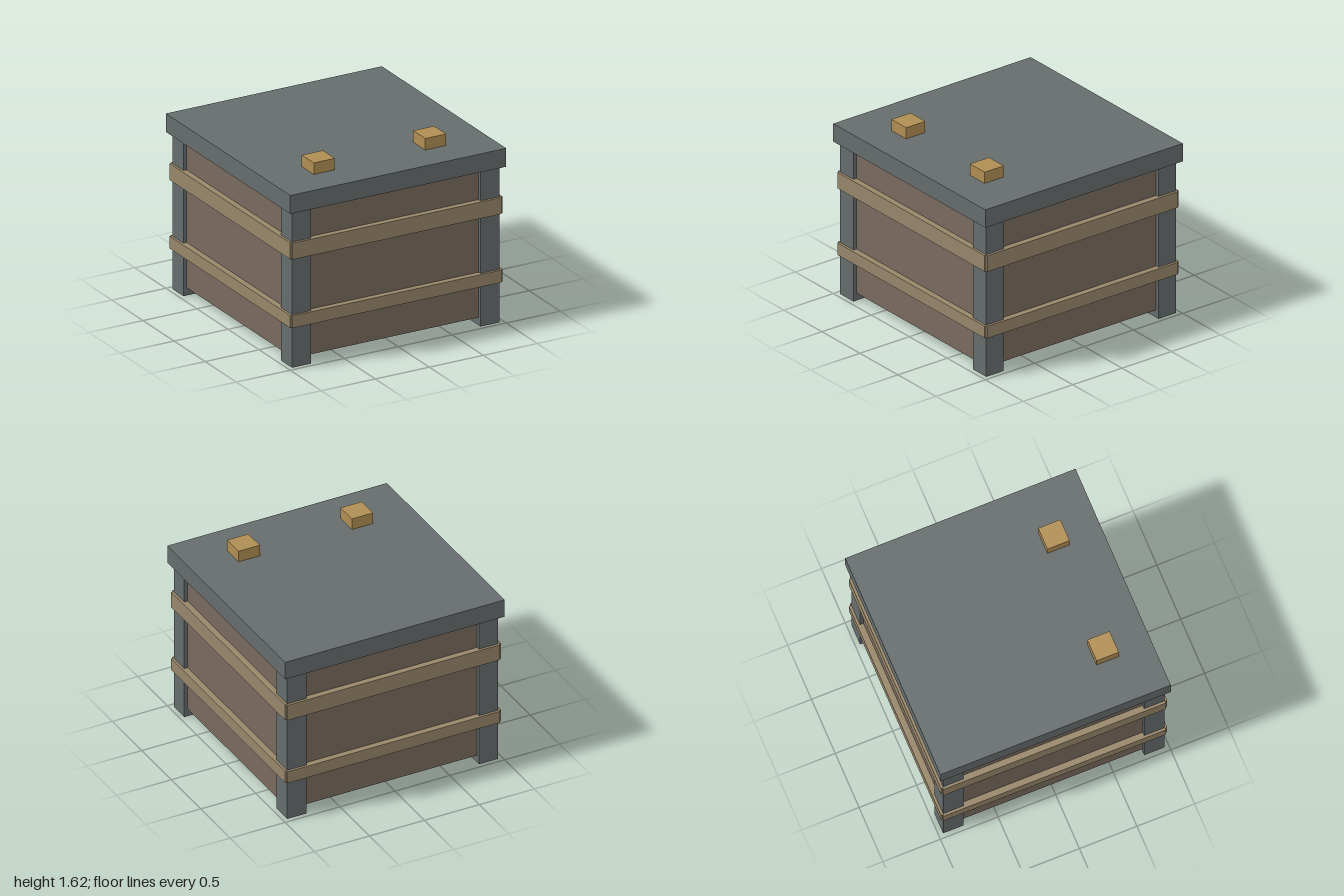
import * as THREE from 'three';

const mat = (name, color) => {
  const m = new THREE.MeshStandardMaterial({ color });
  m.name = name;
  return m;
};

export function createModel() {
  const slate = mat('slate grey', 0x666d6d);
  const brown = mat('panel brown', 0x796b5f);
  const tan = mat('slat tan', 0x97876a);
  const ochre = mat('block ochre', 0xb08e53);

  const model = new THREE.Group();
  model.name = 'crate';

  // Box given by its lower and upper corners
  const box = (name, material, [x0, y0, z0], [x1, y1, z1]) => {
    const mesh = new THREE.Mesh(new THREE.BoxGeometry(x1 - x0, y1 - y0, z1 - z0), material);
    mesh.position.set((x0 + x1) / 2, (y0 + y1) / 2, (z0 + z1) / 2);
    mesh.name = name;
    return mesh;
  };

  // Panelled body and overhanging lid
  model.add(box('body', brown, [-0.93, 0.067, -0.93], [0.93, 1.36, 0.93]));
  model.add(box('lid', slate, [-1, 1.356, -1], [1, 1.516, 1]));

  // Corner posts
  for (const sx of [-1, 1]) {
    for (const sz of [-1, 1]) {
      const post = box('cornerPost', slate, [-0.088, 0, -0.088], [0.088, 1.356, 0.088]);
      post.position.x = sx * 0.873;
      post.position.z = sz * 0.873;
      model.add(post);
    }
  }

  // Two bands of slats, one slat on each of the four sides
  for (const [name, y0, y1] of [['lowerBand', 0.353, 0.46], ['upperBand', 0.947, 1.09]]) {
    const band = new THREE.Group();
    band.name = name;
    for (let i = 0; i < 4; i++) {
      const side = new THREE.Group();
      side.name = 'slatSide';
      side.add(box('slat', tan, [-0.967, y0, 0.915], [0.967, y1, 0.983]));
      side.rotation.y = (i * Math.PI) / 2;
      band.add(side);
    }
    model.add(band);
  }

  // Small blocks on the front part of the lid
  for (const x of [-0.517, 0.515]) {
    model.add(box('lidBlock', ochre, [x - 0.097, 1.51, 0.515], [x + 0.097, 1.616, 0.708]));
  }

  return model;
}
